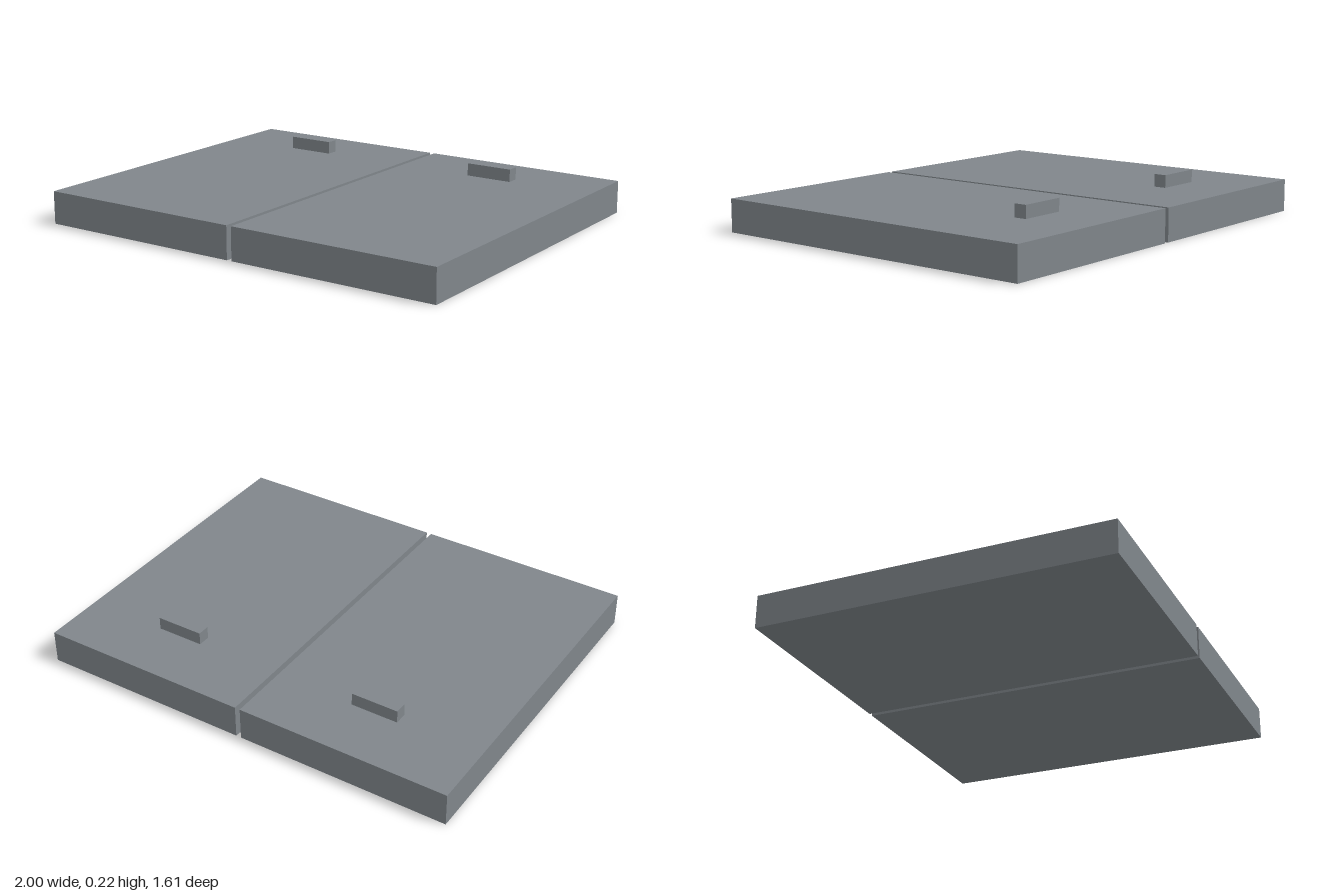
import * as THREE from 'three';

export function createModel() {
  const model = new THREE.Group();
  const steel = new THREE.MeshStandardMaterial({ color: 0x80868b });
  steel.name = 'greySteel';

  const addBox = (parent, name, size, position) => {
    const mesh = new THREE.Mesh(new THREE.BoxGeometry(...size), steel);
    mesh.name = name;
    mesh.position.set(...position);
    parent.add(mesh);
  };

  // Two mirrored door leaves with a narrow gap between them
  for (const [side, s] of [['left', 1], ['right', -1]]) {
    const door = new THREE.Group();
    door.name = side + 'Door';
    addBox(door, side + 'Panel', [0.988, 0.151, 1.61], [s * 0.506, 0.0755, 0]);
    // Bar handle held just clear of the panel
    addBox(door, side + 'Handle', [0.22, 0.058, 0.058], [s * 0.503, 0.188, -0.505]);
    model.add(door);
  }
  return model;
}
